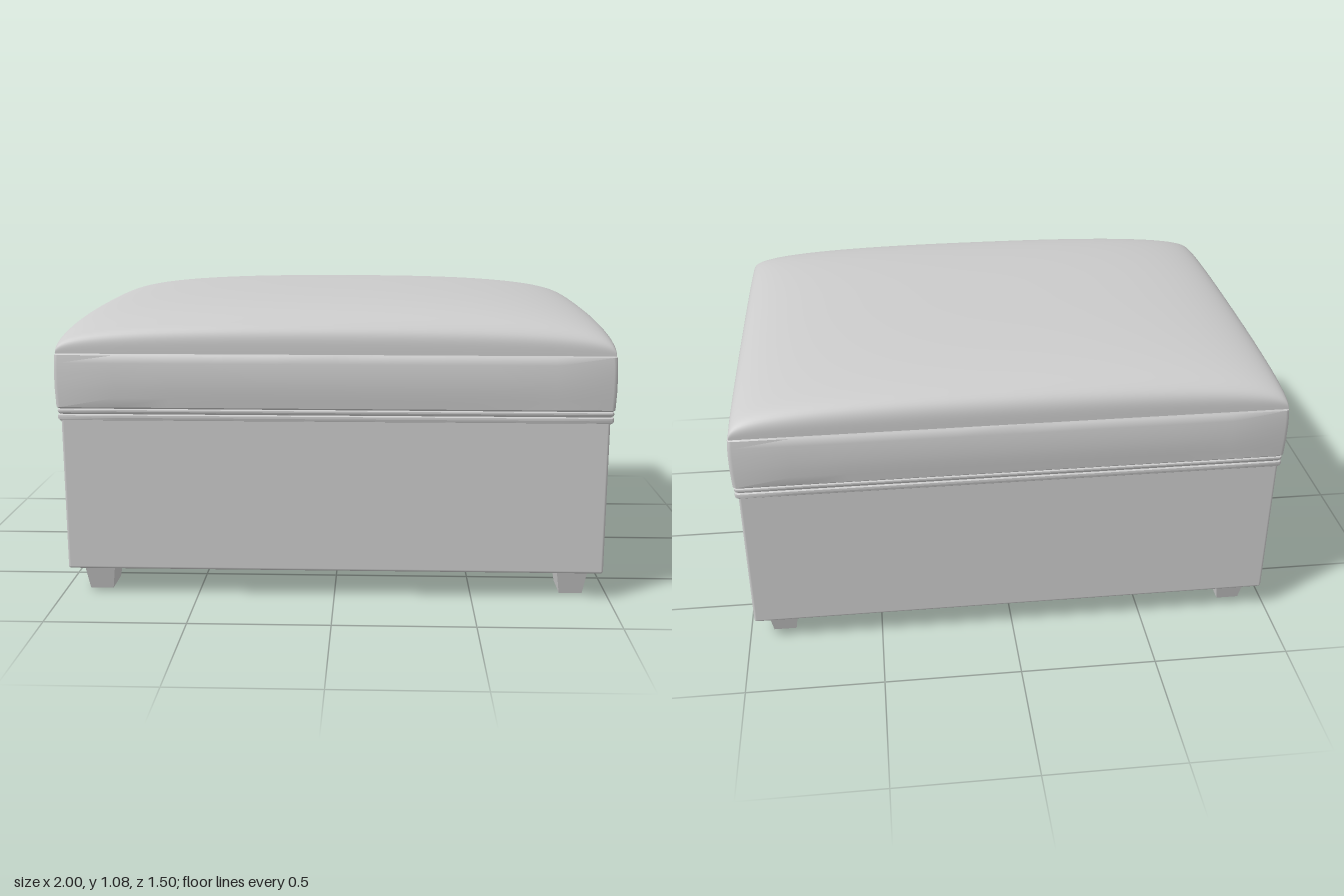
import * as THREE from 'three';
import { toCreasedNormals } from 'three/addons/utils/BufferGeometryUtils.js';
import { RoundedBoxGeometry } from 'three/addons/geometries/RoundedBoxGeometry.js';

const material = new THREE.MeshStandardMaterial({ color: 0xcccccc });

function addMesh(parent, name, geometry, x = 0, y = 0, z = 0) {
  const mesh = new THREE.Mesh(geometry, material);
  mesh.name = name;
  mesh.position.set(x, y, z);
  parent.add(mesh);
  return mesh;
}

// Points around a rounded rectangle, as seen from above
function outline(hx, hz, r, cornerSteps = 4, sideSteps = 10) {
  const points = [];
  const corners = [[1, 1], [-1, 1], [-1, -1], [1, -1]];
  corners.forEach(([sx, sz], c) => {
    for (let i = 0; i <= cornerSteps; i++) {
      const a = (c + i / cornerSteps) * Math.PI / 2;
      points.push([sx * (hx - r) + r * Math.cos(a), sz * (hz - r) + r * Math.sin(a)]);
    }
    // Points along the straight side to the next corner
    const [x0, z0] = points[points.length - 1];
    const [nx, nz] = corners[(c + 1) % 4];
    const a = (c + 1) * Math.PI / 2;
    const x1 = nx * (hx - r) + r * Math.cos(a);
    const z1 = nz * (hz - r) + r * Math.sin(a);
    for (let i = 1; i < sideSteps; i++) {
      const t = i / sideSteps;
      points.push([x0 + (x1 - x0) * t, z0 + (z1 - z0) * t]);
    }
  });
  return points;
}

// Upholstered band: rows are [inset, y, bulge at mid side], from bottom to top
function bandGeometry(hx, hz, rows) {
  const positions = [], index = [];
  let n = 0;
  for (const [inset, y, bulge] of rows) {
    const w = hx - inset, d = hz - inset;
    const ring = outline(w, d, 0.015);
    n = ring.length;
    for (const [x, z] of ring) {
      const ux = x / w, uz = z / d;
      positions.push(
        x + bulge * ux ** 9 * (1 - uz ** 6), y,
        z + bulge * uz ** 9 * (1 - ux ** 6));
    }
  }
  for (let r = 0; r < rows.length - 1; r++) {
    for (let i = 0; i < n; i++) {
      const a = r * n + i, b = r * n + (i + 1) % n;
      index.push(a, a + n, b, b, a + n, b + n);
    }
  }
  const geometry = new THREE.BufferGeometry();
  geometry.setAttribute('position', new THREE.Float32BufferAttribute(positions, 3));
  geometry.setIndex(index);
  return toCreasedNormals(geometry, 0.7);
}

// Crowned cushion top: steep at the rim, nearly flat in the middle
function crownGeometry(hx, hz, y0, height) {
  const geometry = new THREE.PlaneGeometry(2, 2, 48, 48).rotateX(-Math.PI / 2);
  const spread = t => Math.sign(t) * (1 - (1 - Math.min(1, Math.abs(t))) ** 3);
  const rise = u => Math.max(0, 1 - Math.abs(u) ** 2.5) ** 0.25;
  const p = geometry.attributes.position;
  for (let i = 0; i < p.count; i++) {
    const u = spread(p.getX(i)), v = spread(p.getZ(i));
    p.setXYZ(i, u * hx, y0 + height * rise(u) * rise(v), v * hz);
  }
  geometry.computeVertexNormals();
  return geometry;
}

// Tapered block foot
function footGeometry() {
  const geometry = new THREE.BoxGeometry(0.114, 0.1, 0.176);
  const p = geometry.attributes.position;
  for (let i = 0; i < p.count; i++) {
    if (p.getY(i) < 0) p.setXYZ(i, p.getX(i) * 0.74, p.getY(i), p.getZ(i) * 0.73);
  }
  geometry.computeVertexNormals();
  return geometry;
}

export function createModel() {
  const model = new THREE.Group();
  model.name = 'storageOttoman';

  // Storage box
  addMesh(model, 'base', new RoundedBoxGeometry(1.95, 0.57, 1.47, 3, 0.01), 0, 0.385, 0);

  // Feet
  const foot = footGeometry();
  for (const [side, sx] of [['Left', 1], ['Right', -1]]) {
    for (const [end, sz] of [['front', 1], ['back', -1]]) {
      addMesh(model, `${end}${side}Foot`, foot, sx * 0.871, 0.05, sz * 0.598);
    }
  }

  // Lid with two thin welts, a softly bulging side band and a crowned top
  const lid = new THREE.Group();
  lid.name = 'lid';
  model.add(lid);
  for (const [name, y0, y1] of [['lowerWelt', 0.655, 0.68], ['upperWelt', 0.68, 0.7]]) {
    addMesh(lid, name, bandGeometry(0.988, 0.738, [
      [0.06, y0, 0], [0.006, y0, 0], [0.001, y0 + 0.005, 0],
      [0, (y0 + y1) / 2, 0], [0.001, y1 - 0.004, 0], [0.006, y1, 0], [0.06, y1, 0],
    ]));
  }
  addMesh(lid, 'sideBand', bandGeometry(0.993, 0.742, [
    [0.06, 0.7, 0], [0.008, 0.7, 0], [0.002, 0.706, 0.001], [0.001, 0.74, 0.004],
    [0, 0.77, 0.006], [0, 0.8, 0.007], [0, 0.83, 0.006], [0.001, 0.865, 0.004],
    [0.003, 0.893, 0.001], [0.01, 0.9, 0], [0.06, 0.9, 0],
  ]));
  addMesh(lid, 'cushionTop', crownGeometry(0.985, 0.735, 0.898, 0.182));

  return model;
}
